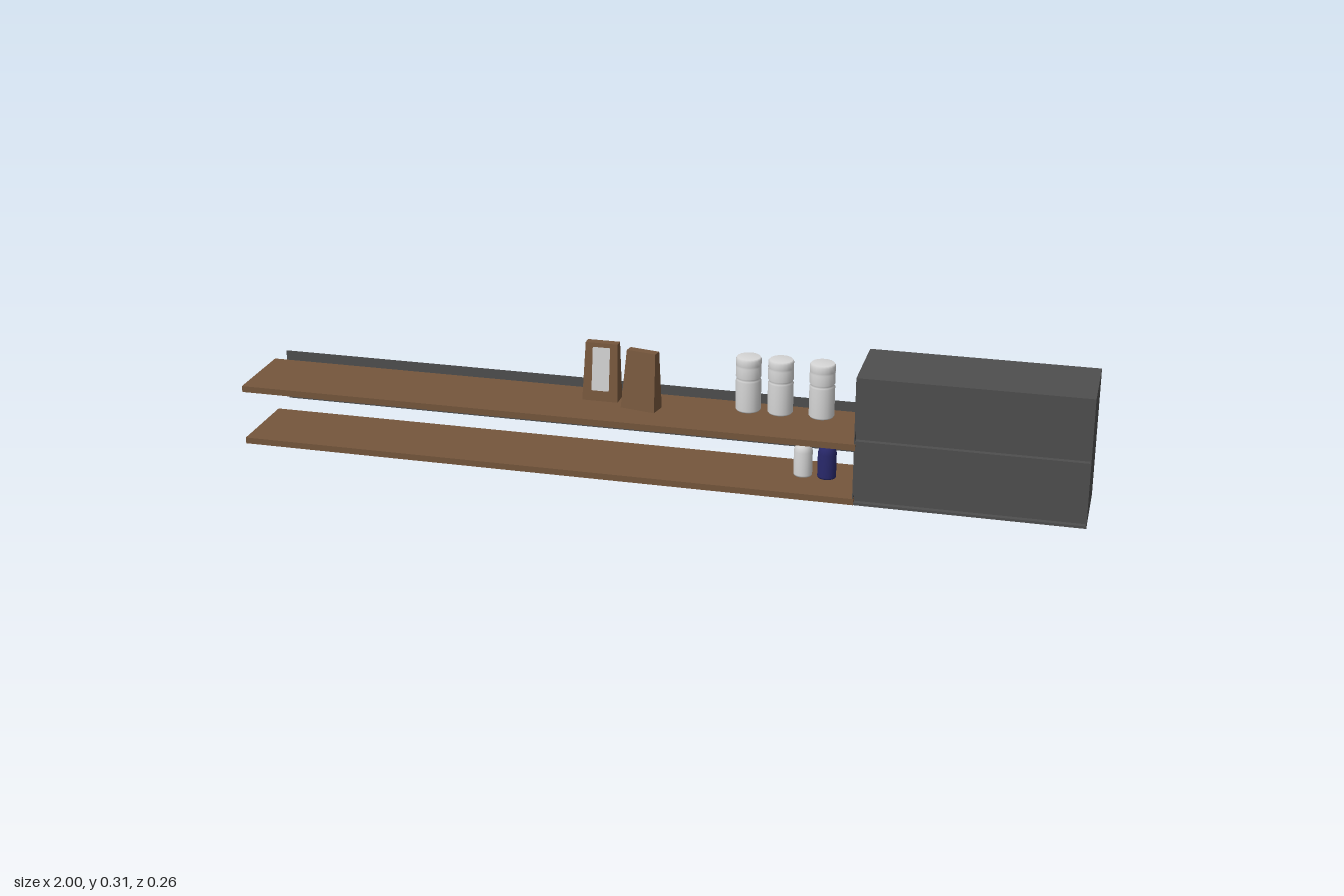
import * as THREE from 'three';

const mat = (name, color, side = THREE.FrontSide) => {
  const m = new THREE.MeshStandardMaterial({ color, side });
  m.name = name;
  return m;
};

export function createModel() {
  const group = new THREE.Group();
  const grey = mat('charcoal lacquer', 0x4e4e4e, THREE.DoubleSide);
  const wood = mat('walnut', 0x75563c);
  const white = mat('white ceramic', 0xd6d6d6, THREE.DoubleSide);
  const navy = mat('navy glass', 0x28286a, THREE.DoubleSide);
  const paper = mat('picture paper', 0xcccccc, THREE.DoubleSide);

  const add = (name, geometry, material, parent = group) => {
    const mesh = new THREE.Mesh(geometry, material);
    mesh.name = name;
    parent.add(mesh);
    return mesh;
  };
  // Box given by its lower and upper corners
  const box = (name, a, b, material, parent) => {
    const mesh = add(name, new THREE.BoxGeometry(b[0] - a[0], b[1] - a[1], b[2] - a[2]), material, parent);
    mesh.position.set((a[0] + b[0]) / 2, (a[1] + b[1]) / 2, (a[2] + b[2]) / 2);
    return mesh;
  };

  const back = -0.063, front = 0.131, split = 0.478, tall = 0.307;

  // Two long shelves and the freestanding panel behind them
  box('lowerShelf', [-1, 0, back], [split + 0.003, 0.015, front + 0.001], wood);
  box('upperShelf', [-1, 0.133, back], [split + 0.003, 0.148, front + 0.001], wood);
  const panel = add('backPanel', new THREE.PlaneGeometry(1 + split, 0.127), grey);
  panel.position.set((split - 1) / 2, 0.0815, -0.132);

  // Cabinet: thin shell, open at the back
  const cabinet = new THREE.Group();
  cabinet.name = 'cabinet';
  group.add(cabinet);
  const t = 0.002;
  box('cabinetTop', [split, tall - t, back], [1, tall, front], grey, cabinet);
  box('cabinetBottom', [split, 0, back], [1, t, front], grey, cabinet);
  box('cabinetInnerSide', [split, 0, back], [split + t, tall, front], grey, cabinet);
  box('cabinetOuterSide', [1 - t, 0, back], [1, tall, front], grey, cabinet);

  // Drawer fronts with a recessed finger groove below each
  const groove = front - 0.012;
  const profile = [[0, front], [0.006, front], [0.006, groove], [0.024, groove], [0.024, front],
    [0.156, front], [0.156, groove], [0.18, groove], [0.18, front], [tall, front]];
  const pos = [];
  for (let i = 0; i < profile.length - 1; i++) {
    const [y0, z0] = profile[i], [y1, z1] = profile[i + 1];
    const a = [split, y0, z0], b = [1, y0, z0], c = [1, y1, z1], d = [split, y1, z1];
    pos.push(...a, ...b, ...c, ...a, ...c, ...d);
  }
  const fronts = new THREE.BufferGeometry();
  fronts.setAttribute('position', new THREE.Float32BufferAttribute(pos, 3));
  fronts.computeVertexNormals();
  add('drawerFronts', fronts, grey, cabinet);

  // Lathe from [radius, height] points
  const lathe = (name, pts, material, x, y, z) => {
    const mesh = add(name, new THREE.LatheGeometry(pts.map(p => new THREE.Vector2(...p)), 20), material);
    mesh.position.set(x, y, z);
  };

  // Banded canisters on the upper shelf
  const canister = [[0, 0], [0.027, 0], [0.03, 0.004], [0.03, 0.074], [0.028, 0.077], [0.028, 0.081],
    [0.03, 0.084], [0.03, 0.108], [0.028, 0.11], [0.03, 0.113], [0.03, 0.126], [0.027, 0.131], [0, 0.131]];
  for (const x of [0.204, 0.28, 0.377]) lathe('canister', canister, white, x, 0.148, -0.02);

  // Bottles on the lower shelf
  const bottle = [[0, 0], [0.021, 0], [0.022, 0.004], [0.022, 0.06], [0.018, 0.073], [0.01, 0.084],
    [0.009, 0.093], [0.012, 0.098], [0.012, 0.102], [0, 0.102]];
  lathe('whiteBottle', bottle, white, 0.344, 0.015, 0.02);
  lathe('navyBottle', bottle, navy, 0.4, 0.015, 0.02);

  // Wedge-shaped picture frames: the face leans back, the sides taper
  const h = 0.137;
  const frame = (name, x, z, turn, taper) => {
    const g = new THREE.Group();
    g.name = name;
    g.position.set(x, 0.148, z);
    g.rotation.y = turn;
    group.add(g);
    const geo = new THREE.BoxGeometry(0.086, h, 0.042);
    geo.translate(0, h / 2, 0);
    const p = geo.attributes.position;
    for (let i = 0; i < p.count; i++) {
      if (p.getY(i) < h / 2) continue;
      p.setX(i, p.getX(i) * taper);
      if (p.getZ(i) > 0) p.setZ(i, 0);
    }
    geo.computeVertexNormals();
    add('frameBody', geo, wood, g);
    return g;
  };
  const first = frame('pictureFrame', -0.144, -0.005, 0, 0.9);
  const picture = add('picture', new THREE.PlaneGeometry(0.042, 0.104), paper, first);
  picture.position.set(0, 0.076, 0.0105);
  picture.rotation.x = -Math.atan(0.021 / h);
  frame('turnedFrame', -0.04, 0.03, -0.2, 0.85);

  return group;
}
